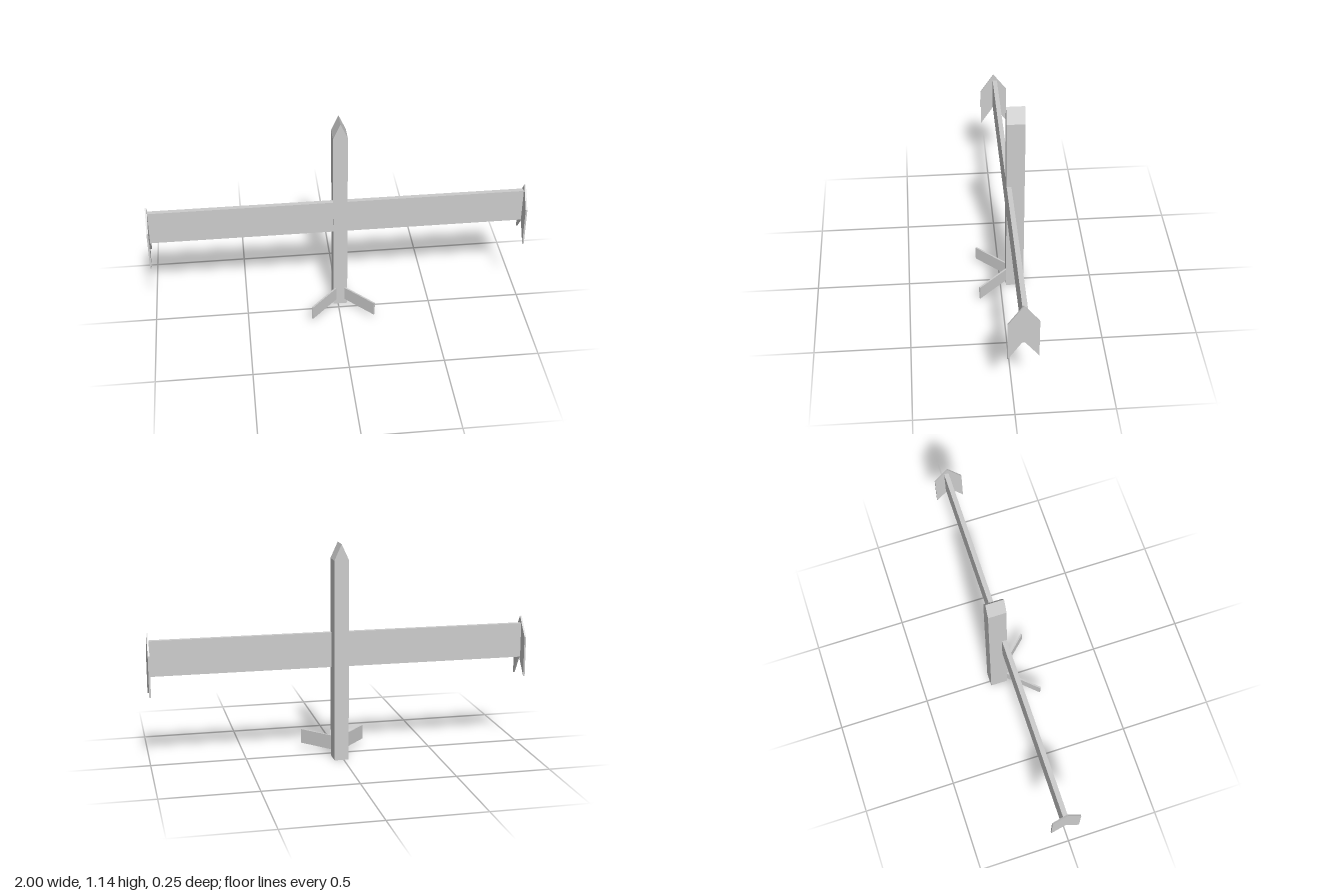
import * as THREE from 'three';

const material = new THREE.MeshStandardMaterial({ color: 0xcccccc, flatShading: true, side: THREE.DoubleSide });
const CX = 0.012; // fuselage centre line

// Extrudes an outline of [x, y] points from z = 0 to z = depth
function slab(name, points, depth) {
  const shape = new THREE.Shape(points.map(([x, y]) => new THREE.Vector2(x, y)));
  const mesh = new THREE.Mesh(new THREE.ExtrudeGeometry(shape, { depth, bevelEnabled: false }), material);
  mesh.name = name;
  return mesh;
}

function box(name, w, h, d, x, y, z) {
  const mesh = new THREE.Mesh(new THREE.BoxGeometry(w, h, d), material);
  mesh.name = name;
  mesh.position.set(x, y, z);
  return mesh;
}

export function createModel() {
  const group = new THREE.Group();
  group.name = 'glider';

  // Square body with a wedge nose
  const fuselage = slab('fuselage', [[-0.038, 0], [0.038, 0], [0.038, 1.062], [0, 1.145], [-0.038, 1.062]], 0.095);
  fuselage.position.set(CX, 0, -0.126);
  group.add(fuselage);

  // Straight wing, flush with the front of the body
  group.add(box('wing', 1.984, 0.185, 0.025, 0, 0.583, -0.0445));

  for (const side of [-1, 1]) {
    const label = side > 0 ? 'left' : 'right';

    // Swept chevron plate on the wing tip (outline drawn in -z, y)
    const winglet = slab(label + 'Winglet',
      [[-0.039, 0.38], [0.036, 0.496], [0.112, 0.396], [0.112, 0.612], [0.036, 0.713], [-0.039, 0.6]], 0.009);
    winglet.rotation.y = Math.PI / 2;
    winglet.position.x = side > 0 ? 0.991 : -1;
    group.add(winglet);

    // Tail fin splayed forward and outward
    const inner = new THREE.Vector2(0.026, -0.032), outer = new THREE.Vector2(0.168, 0.121);
    const span = outer.clone().sub(inner), mid = inner.clone().add(outer).multiplyScalar(0.5);
    const fin = box(label + 'TailFin', span.length(), 0.077, 0.009, CX + side * mid.x, 0.069, mid.y);
    fin.rotation.y = -side * span.angle();
    group.add(fin);
  }
  return group;
}
